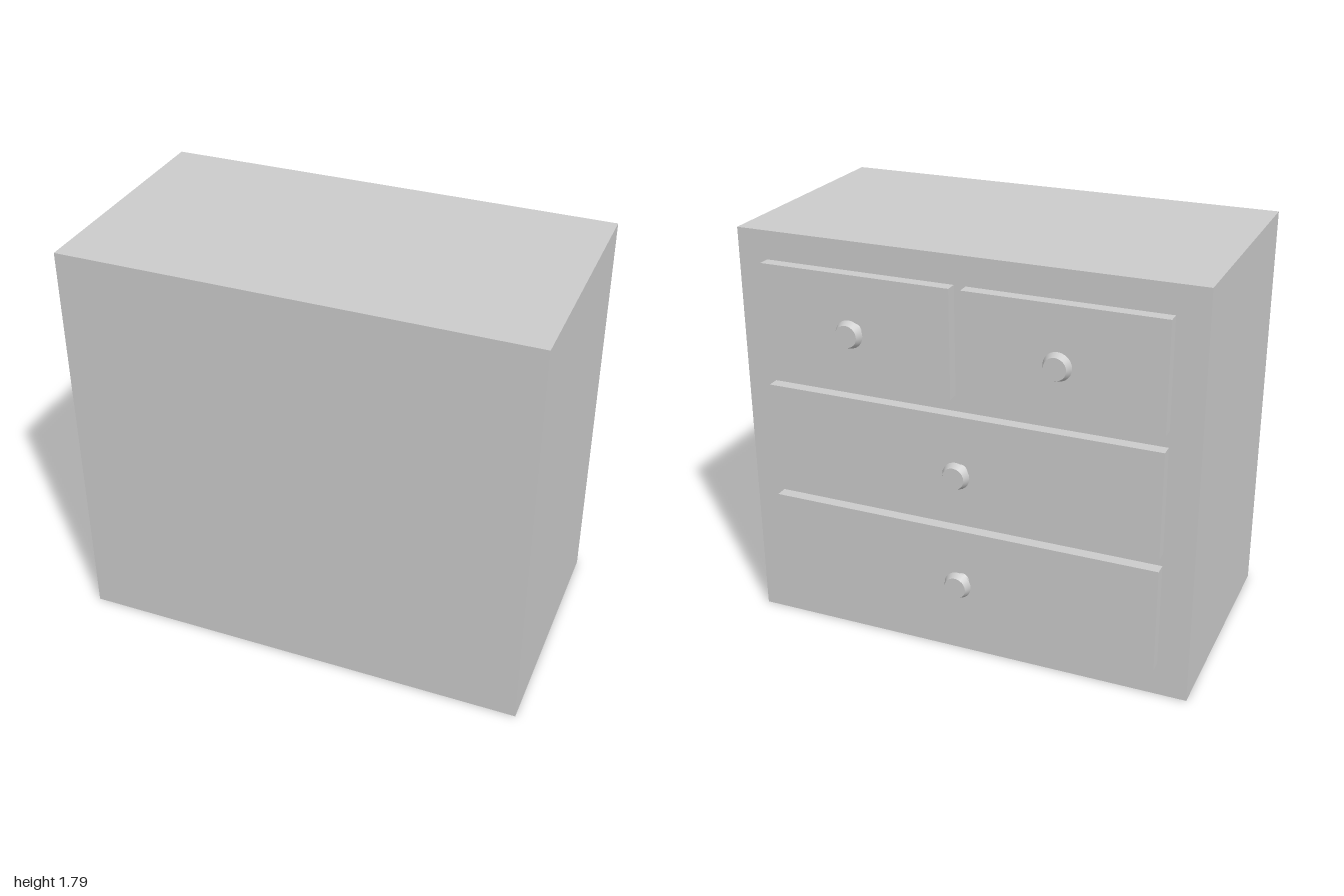
import * as THREE from 'three';

const material = new THREE.MeshStandardMaterial({ color: 0xcccccc });

// Box given by its minimum and maximum corners
function box(name, x0, x1, y0, y1, z0, z1) {
  const mesh = new THREE.Mesh(new THREE.BoxGeometry(x1 - x0, y1 - y0, z1 - z0), material);
  mesh.position.set((x0 + x1) / 2, (y0 + y1) / 2, (z0 + z1) / 2);
  mesh.name = name;
  return mesh;
}

// Round section along z: radius rOuter at zOuter, rInner at zInner
function ring(name, rOuter, zOuter, rInner, zInner) {
  const geometry = new THREE.CylinderGeometry(rOuter, rInner, zInner - zOuter, 24);
  geometry.rotateX(-Math.PI / 2);
  const mesh = new THREE.Mesh(geometry, material);
  mesh.position.z = (zOuter + zInner) / 2;
  mesh.name = name;
  return mesh;
}

function createKnob(x, y) {
  const knob = new THREE.Group();
  knob.name = 'knob';
  knob.add(
    ring('knobBase', 0.02, -0.55, 0.032, -0.525),
    ring('knobStem', 0.02, -0.577, 0.02, -0.545),
    ring('knobHead', 0.047, -0.605, 0.06, -0.575),
  );
  knob.position.set(x, y, 0);
  return knob;
}

export function createModel() {
  const chest = new THREE.Group();
  chest.name = 'chestOfDrawers';

  // Solid cabinet
  chest.add(box('cabinet', -1, 1, 0, 1.795, -0.475, 0.605));

  // Drawer fronts with their knobs: x0, x1, y0, y1, knob x, knob y
  const drawers = [
    ['upperRightDrawer', -0.868, -0.024, 1.204, 1.672, -0.445, 1.44],
    ['upperLeftDrawer', 0.026, 0.868, 1.204, 1.672, 0.445, 1.44],
    ['middleDrawer', -0.868, 0.868, 0.668, 1.135, -0.015, 0.895],
    ['lowerDrawer', -0.868, 0.868, 0.147, 0.613, -0.015, 0.382],
  ];
  for (const [name, x0, x1, y0, y1, kx, ky] of drawers) {
    chest.add(box(name, x0, x1, y0, y1, -0.527, -0.465), createKnob(kx, ky));
  }
  return chest;
}
